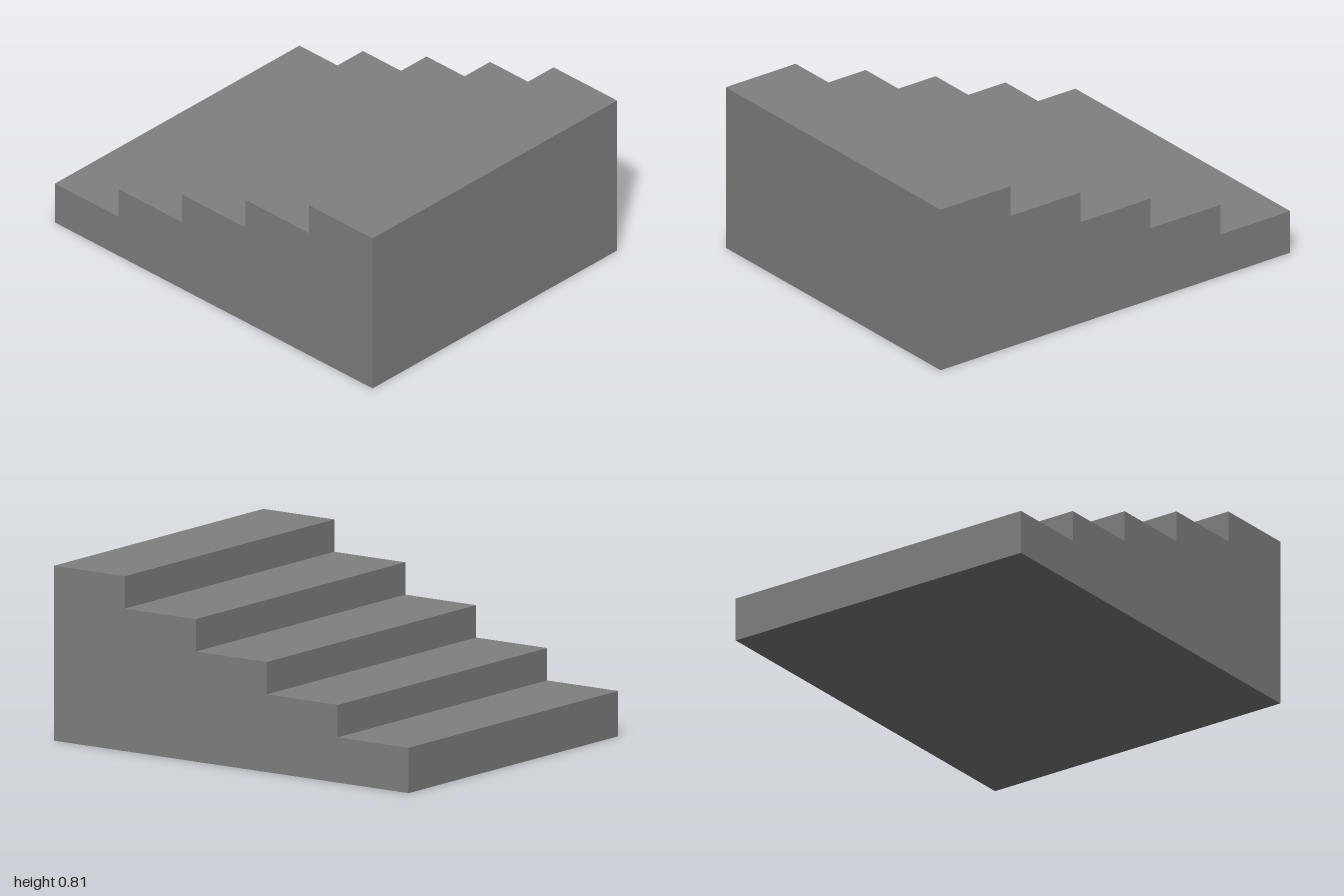
import * as THREE from 'three';

const STEPS = 5, WIDTH = 2, DEPTH = 1.6, FIRST_RISE = 0.21, RISE = 0.15;

export function createModel() {
  const model = new THREE.Group();
  model.name = 'staircase';

  const grey = new THREE.MeshStandardMaterial({ color: 0x808080 });
  grey.name = 'stone grey';

  // Stepped side profile, climbing towards +x
  const run = WIDTH / STEPS;
  const profile = new THREE.Shape();
  profile.moveTo(-WIDTH / 2, 0);
  profile.lineTo(WIDTH / 2, 0);
  for (let i = STEPS - 1; i >= 0; i--) {
    const y = FIRST_RISE + i * RISE;
    const x = -WIDTH / 2 + i * run;
    profile.lineTo(x + run, y);
    profile.lineTo(x, y);
  }
  profile.closePath();

  // One solid flight of steps
  const geometry = new THREE.ExtrudeGeometry(profile, { depth: DEPTH, bevelEnabled: false });
  geometry.translate(0, 0, -DEPTH / 2);
  const steps = new THREE.Mesh(geometry, grey);
  steps.name = 'steps';
  model.add(steps);

  return model;
}
